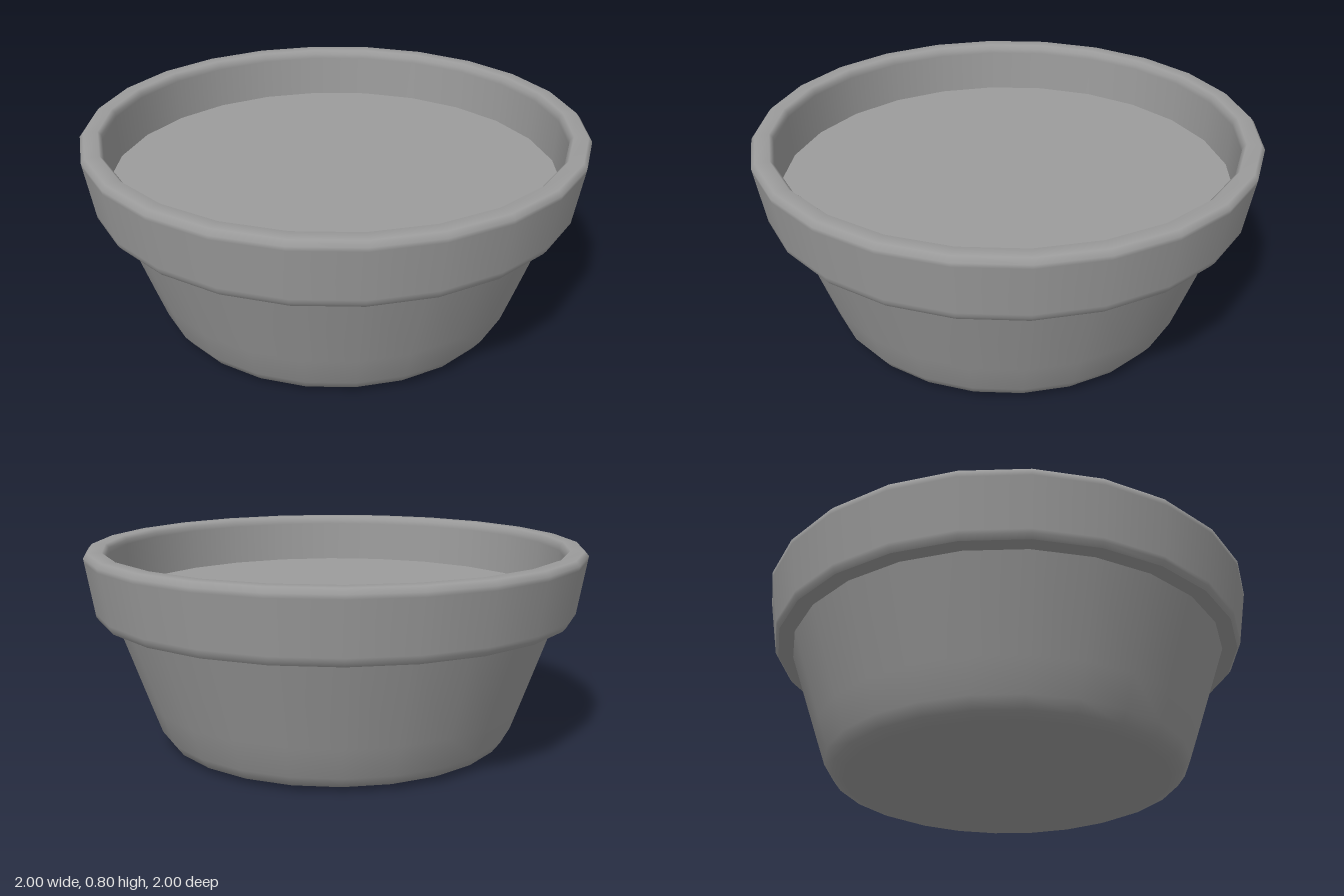
import * as THREE from 'three';

const SIDES = 24;

export function createModel() {
  const group = new THREE.Group();
  group.name = 'plantPot';
  const material = new THREE.MeshStandardMaterial({ color: 0x9c9c9c });

  const add = (name, geometry) => {
    const mesh = new THREE.Mesh(geometry, material);
    mesh.name = name;
    group.add(mesh);
    return mesh;
  };
  const turned = (profile) => new THREE.LatheGeometry(
    profile.map(([r, y]) => new THREE.Vector2(r, y)), SIDES);

  // Tapered bowl with a softly rounded foot
  add('bowl', turned([
    [0, 0], [0.64, 0], [0.695, 0.022], [0.727, 0.065], [0.771, 0.19], [0.89, 0.535],
  ]));

  // Flat underside of the overhanging collar
  add('rimUnderside', turned([[0.89, 0.535], [0.95, 0.535]]));

  // Collar: flared outside with support rings near its bevels, rounded lip, inner wall
  add('rim', turned([
    [0.95, 0.535], [0.963, 0.552], [0.9655, 0.568], [0.9975, 0.765], [1, 0.782],
    [0.985, 0.8], [0.93, 0.8], [0.916, 0.785], [0.915, 0.765], [0.905, 0.593],
  ]));

  // Flat soil surface below the lip
  const soil = add('soil', new THREE.CircleGeometry(0.905, SIDES));
  soil.rotation.x = -Math.PI / 2;
  soil.position.y = 0.593;

  return group;
}
